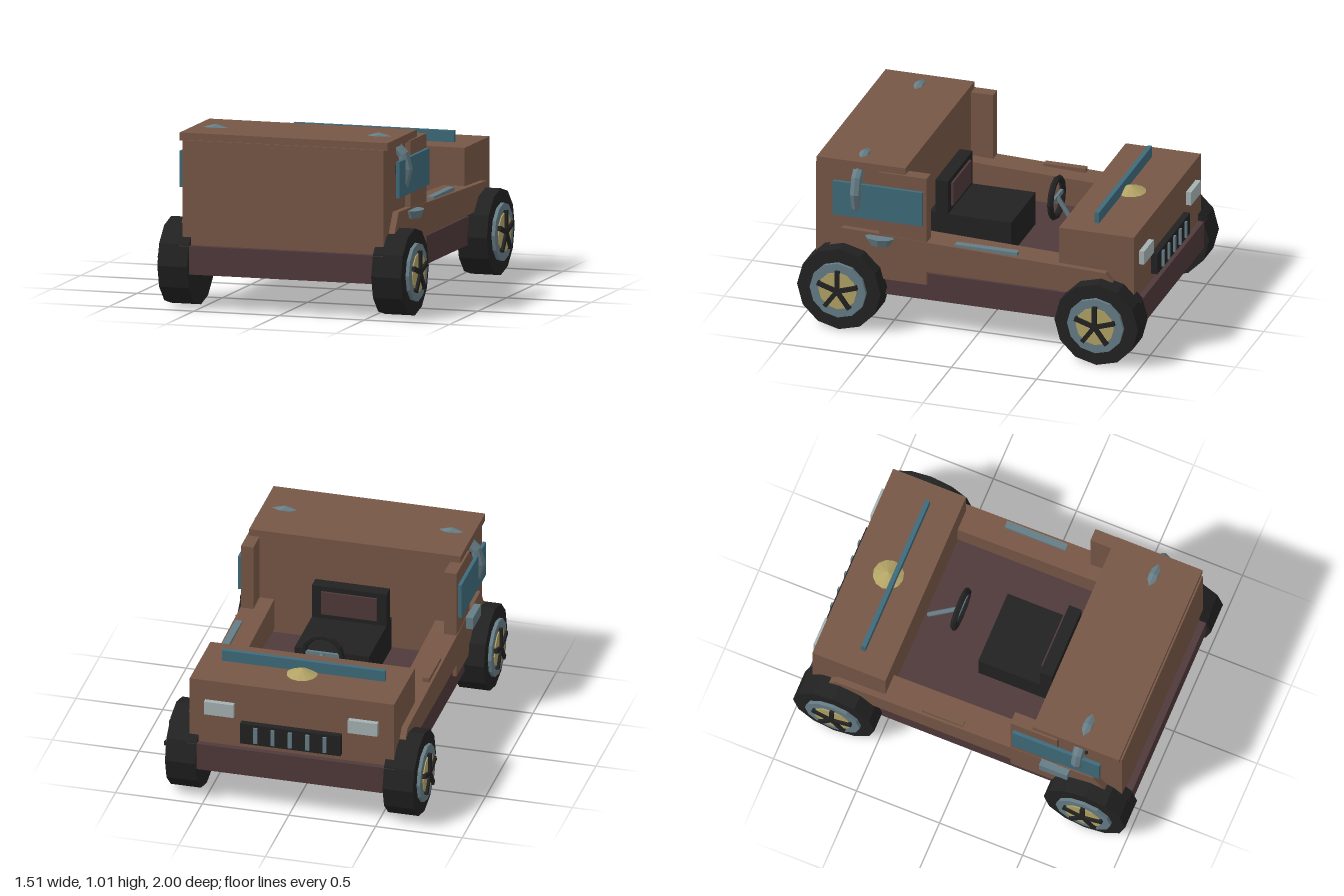
import * as THREE from 'three';

const mat = (name, color, flat = true) => {
  const m = new THREE.MeshStandardMaterial({ color, flatShading: flat });
  m.name = name;
  return m;
};

export function createModel() {
  const root = new THREE.Group();
  root.name = 'openCar';
  const brown = mat('brownBody', 0x775746);
  const maroon = mat('maroonChassis', 0x50393b);
  const black = mat('blackRubber', 0x222222);
  const steel = mat('blueGreyMetal', 0x667d86);
  const teal = mat('tealGlass', 0x3f6b7b);
  const brass = mat('brass', 0xb2a365);
  const pale = mat('paleLamp', 0xa6b2b2);

  const add = (name, geo, material, parent = root) => {
    const m = new THREE.Mesh(geo, material);
    m.name = name;
    parent.add(m);
    return m;
  };
  // Box given by its limits on each axis
  const box = (name, material, x0, x1, y0, y1, z0, z1, parent = root) => {
    const m = add(name, new THREE.BoxGeometry(x1 - x0, y1 - y0, z1 - z0), material, parent);
    m.position.set((x0 + x1) / 2, (y0 + y1) / 2, (z0 + z1) / 2);
    return m;
  };
  // Box mirrored onto one side
  const sideBox = (name, material, s, x0, x1, ...rest) =>
    box(name, material, Math.min(s * x0, s * x1), Math.max(s * x0, s * x1), ...rest);

  // Main body
  box('chassis', maroon, -0.6, 0.6, 0.2, 0.36, -0.97, 0.97);
  box('hood', brown, -0.59, 0.59, 0.36, 0.75, -0.935, -0.495);
  box('rearBox', brown, -0.59, 0.59, 0.36, 0.95, 0.4, 0.93);
  box('rearLid', brown, -0.61, 0.61, 0.945, 0.99, 0.4, 0.92);

  // Side rails, panels and windows
  const rail = new THREE.Shape([
    [0.84, 0.38], [0.84, 0.47], [0.77, 0.58], [0.55, 0.575], [0.27, 0.56],
    [-0.78, 0.525], [-0.83, 0.46], [-0.83, 0.38],
  ].map(([z, y]) => new THREE.Vector2(-z, y)));
  for (const s of [-1, 1]) {
    const geo = new THREE.ExtrudeGeometry(rail, { depth: 0.16, bevelEnabled: false });
    geo.rotateY(Math.PI / 2);
    add('sideRail', geo, brown).position.x = s > 0 ? 0.465 : -0.625;
    sideBox('sidePanel', brown, s, 0.55, 0.622, 0.3, 0.95, 0.27, 0.55);
    sideBox('sideWindow', teal, s, 0.625, 0.645, 0.665, 0.87, 0.29, 0.815);
  }
  box('railPlate', steel, 0.57, 0.61, 0.545, 0.567, -0.255, 0.11);
  box('railPlate', brown, -0.61, -0.57, 0.54, 0.567, -0.265, -0.02);

  // Side handles
  box('leftSideHandle', steel, -0.665, -0.615, 0.505, 0.575, 0.46, 0.63);
  const lever = add('rightSideHandle', new THREE.CylinderGeometry(0.5, 0.35, 1, 8), steel);
  lever.scale.set(0.1, 0.045, 0.17);
  lever.position.set(0.643, 0.54, 0.54);

  // Five spokes around the z axis
  const spokes = (parent, length, width, z, start) => {
    for (let i = 0; i < 5; i++) {
      const arm = new THREE.BoxGeometry(length, width, width);
      arm.translate(length / 2, 0, 0);
      const m = add('spoke', arm, black, parent);
      m.rotation.z = start + (i * Math.PI * 2) / 5;
      m.position.z = z;
    }
  };

  // Road wheels, built along z and turned outward
  for (const s of [-1, 1]) {
    for (const z of [-0.755, 0.755]) {
      const wheel = new THREE.Group();
      wheel.name = 'wheel';
      const disc = (name, r, from, to, material, n) => {
        const g = new THREE.CylinderGeometry(r, r, to - from, n);
        g.rotateX(Math.PI / 2);
        add(name, g, material, wheel).position.z = (from + to) / 2;
      };
      disc('tyre', 0.245, 0.54, 0.715, black, 12);
      disc('rim', 0.165, 0.7, 0.735, steel, 12);
      disc('hubDisc', 0.112, 0.72, 0.741, brass, 12);
      spokes(wheel, 0.122, 0.026, 0.742, Math.PI / 2);
      wheel.rotation.y = s * Math.PI / 2;
      wheel.position.set(0, 0.245, z);
      root.add(wheel);
    }
  }

  // Spare rings passing through the rear box
  for (const x of [-0.48, 0.48]) {
    const ring = new THREE.Group();
    ring.name = 'spareRing';
    add('ring', new THREE.TorusGeometry(0.165, 0.034, 8, 12), steel, ring);
    spokes(ring, 0.14, 0.05, 0.02, 0);
    ring.position.set(x, 0.81, 0.68);
    root.add(ring);
  }

  // Hood fittings
  box('windBar', teal, -0.47, 0.47, 0.74, 0.815, -0.69, -0.664);
  const cap = add('hoodCap', new THREE.ConeGeometry(0.095, 0.04, 12), brass);
  cap.position.set(0, 0.767, -0.72);
  box('grille', black, -0.29, 0.29, 0.4, 0.525, -0.972, -0.93);
  for (let i = -2; i <= 2; i++) {
    box('grilleBar', steel, i * 0.1 - 0.011, i * 0.1 + 0.011, 0.415, 0.51, -0.984, -0.96);
  }
  for (const s of [-1, 1]) {
    sideBox('headlight', pale, s, 0.33, 0.5, 0.55, 0.63, -0.965, -0.93);
  }

  // Seat
  box('seatCushion', black, -0.215, 0.215, 0.36, 0.555, -0.09, 0.39);
  box('seatBack', black, -0.215, 0.215, 0.54, 0.755, 0.28, 0.355);
  box('seatBackPad', maroon, -0.16, 0.16, 0.585, 0.725, 0.268, 0.285);

  // Steering wheel and column
  const steer = new THREE.Group();
  steer.name = 'steeringWheel';
  add('steeringRing', new THREE.TorusGeometry(0.112, 0.018, 6, 12), black, steer);
  box('steeringBar', steel, -0.105, 0.105, -0.013, 0.013, -0.008, 0.008, steer);
  steer.position.set(0, 0.645, -0.285);
  root.add(steer);
  const top = new THREE.Vector3(0, 0.65, -0.29), foot = new THREE.Vector3(0, 0.36, -0.475);
  const dir = top.clone().sub(foot);
  const column = add('steeringColumn', new THREE.CylinderGeometry(0.014, 0.014, dir.length(), 8), steel);
  column.position.copy(top).add(foot).multiplyScalar(0.5);
  column.quaternion.setFromUnitVectors(new THREE.Vector3(0, 1, 0), dir.normalize());

  return root;
}
